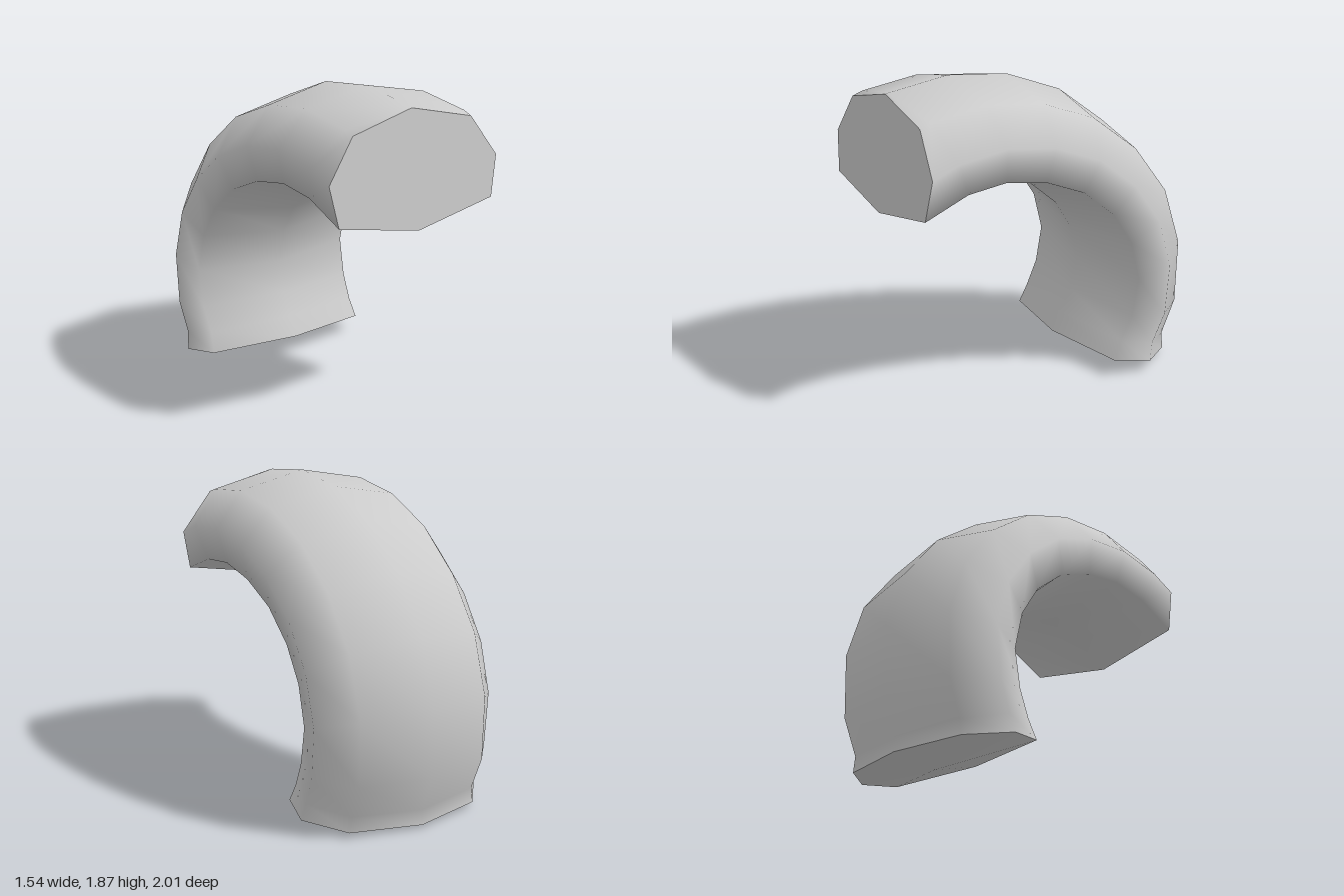
import * as THREE from 'three';

// Cross-section: [sideways offset, fraction of the way from outer to inner edge]
const SECTION = [
  [0, 0], [0.43, 0.145], [0.61, 0.5], [0.56, 0.85],
  [0.01, 1], [-0.54, 0.85], [-0.59, 0.5], [-0.415, 0.145],
];

// Rings along the bend: outer z, outer y, inner z, inner y, width scale
const RINGS = [
  [0.842, 1.81, 0.91, 1.12, 1],
  [0.82, 1.815, 0.595, 1.25, 1],
  [0.44, 1.87, 0.37, 1.275, 1],
  [0.05, 1.83, 0.13, 1.23, 1],
  [-0.32, 1.69, -0.11, 1.13, 1],
  [-0.64, 1.45, -0.30, 0.97, 1],
  [-0.89, 1.13, -0.412, 0.79, 1],
  [-1.018, 0.75, -0.461, 0.573, 1],
  [-1.01, 0.33, -0.415, 0.377, 1],
  [-0.92, 0.11, -0.343, 0.235, 0.985],
  [-0.93, 0.02, -0.283, 0.114, 1.015],
];

const material = new THREE.MeshStandardMaterial({ color: 0xcccccc, side: THREE.DoubleSide });

function ringPoints([oz, oy, iz, iy, scale]) {
  return SECTION.map(([u, t]) => [u * scale, oy + (iy - oy) * t, oz + (iz - oz) * t]);
}

function makeMesh(name, points, indices) {
  const geometry = new THREE.BufferGeometry();
  geometry.setAttribute('position', new THREE.Float32BufferAttribute(points.flat(), 3));
  geometry.setIndex(indices);
  geometry.computeVertexNormals();
  const mesh = new THREE.Mesh(geometry, material);
  mesh.name = name;
  return mesh;
}

// Fan of triangles closing one end around a centre point
function makeCap(name, ring, centre, flip) {
  const n = ring.length;
  const indices = [];
  for (let j = 0; j < n; j++) {
    const k = (j + 1) % n;
    indices.push(n, flip ? j : k, flip ? k : j);
  }
  return makeMesh(name, [...ring, centre], indices);
}

export function createModel() {
  const group = new THREE.Group();
  group.name = 'bentTube';
  const rings = RINGS.map(ringPoints);
  const n = SECTION.length;

  // Smooth curved wall
  const indices = [];
  for (let i = 0; i < rings.length - 1; i++) {
    for (let j = 0; j < n; j++) {
      const a = i * n + j, b = i * n + (j + 1) % n;
      indices.push(a, b, a + n, b, b + n, a + n);
    }
  }
  group.add(makeMesh('curvedWall', rings.flat(), indices));

  // Flat front end and slightly domed foot
  group.add(makeCap('frontEnd', rings[0], [0, 1.465, 0.876], false));
  group.add(makeCap('footEnd', rings[rings.length - 1], [0, 0, -0.62], true));

  // The whole bend is turned a little to one side
  group.rotation.y = -0.232;
  return group;
}
